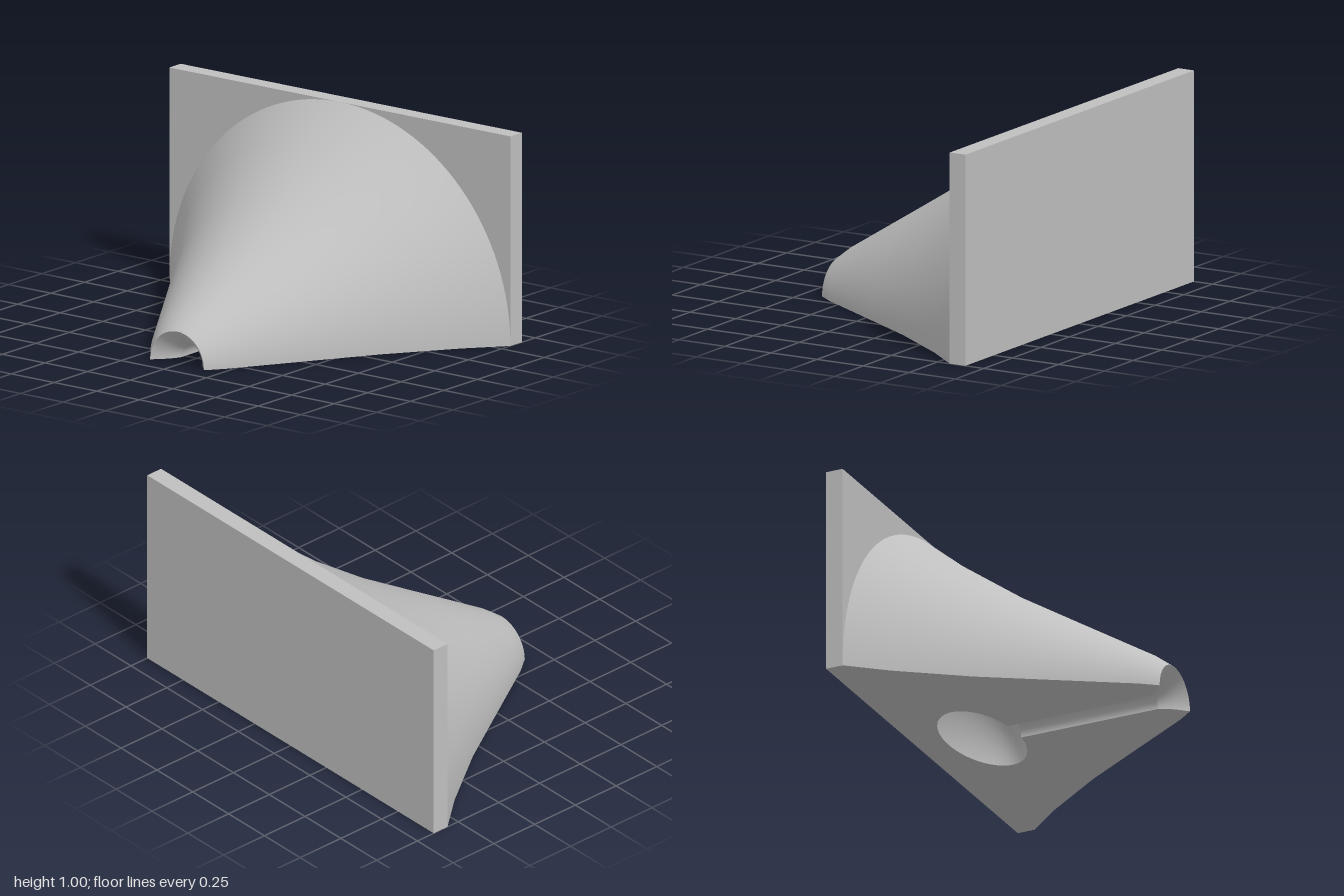
import * as THREE from 'three';

export function createModel() {
  const model = new THREE.Group();
  const grey = new THREE.MeshStandardMaterial({ color: 0xbfbfbf });
  grey.name = 'plainGrey';

  const add = (name, geometry) => {
    const mesh = new THREE.Mesh(geometry, grey);
    mesh.name = name;
    model.add(mesh);
    return mesh;
  };
  const points = (list) => list.map(([r, z]) => new THREE.Vector2(r, z));

  // Upper half of a surface turned about the z axis, profile as (radius, z);
  // rising z faces outward, falling z faces inward
  const halfTurn = (profile, segments) =>
    new THREE.LatheGeometry(profile, segments, Math.PI / 2, Math.PI).rotateX(Math.PI / 2);

  const BORE = 0.07, CAVITY_Z = -0.34, CAVITY_R = 0.32, CAVITY_DEPTH = 0.17;

  // Profiles
  const outer = points([[1, -0.565], [0.85, -0.39], [0.625, -0.08], [0.45, 0.2], [0.22, 0.57], [0.158, 0.65]]);
  const flare = points([[0.158, 0.65], [0.115, 0.605], [0.085, 0.565], [BORE, 0.53]]);
  const cavity = [];
  const start = Math.asin(BORE / CAVITY_R);
  for (let i = 0; i <= 24; i++) {
    const a = start + (Math.PI - start) * i / 24;
    cavity.push(new THREE.Vector2(Math.max(0, CAVITY_R * Math.sin(a)), CAVITY_Z + CAVITY_DEPTH * Math.cos(a)));
  }
  const bore = [flare[flare.length - 1], cavity[0]];

  // Back plate
  add('backPlate', new THREE.BoxGeometry(2, 1, 0.085)).position.set(0, 0.5, -0.6075);

  // Half cone and the hollow running through it
  add('outerCone', halfTurn(outer, 64));
  add('mouthFlare', halfTurn(flare, 40));
  add('bore', halfTurn(bore, 32));
  add('cavity', halfTurn(cavity, 48));

  // Flat underside, cut by the hollow: one half outline, then its mirror
  const half = [...outer, ...flare.slice(1), ...cavity, new THREE.Vector2(0, -0.565)];
  const mirrored = half.map((p) => new THREE.Vector2(-p.x, p.y)).reverse();
  [half, mirrored].forEach((outline, i) => {
    const face = new THREE.ShapeGeometry(new THREE.Shape(outline)).rotateX(Math.PI / 2);
    add(i ? 'undersideRight' : 'undersideLeft', face);
  });

  return model;
}
